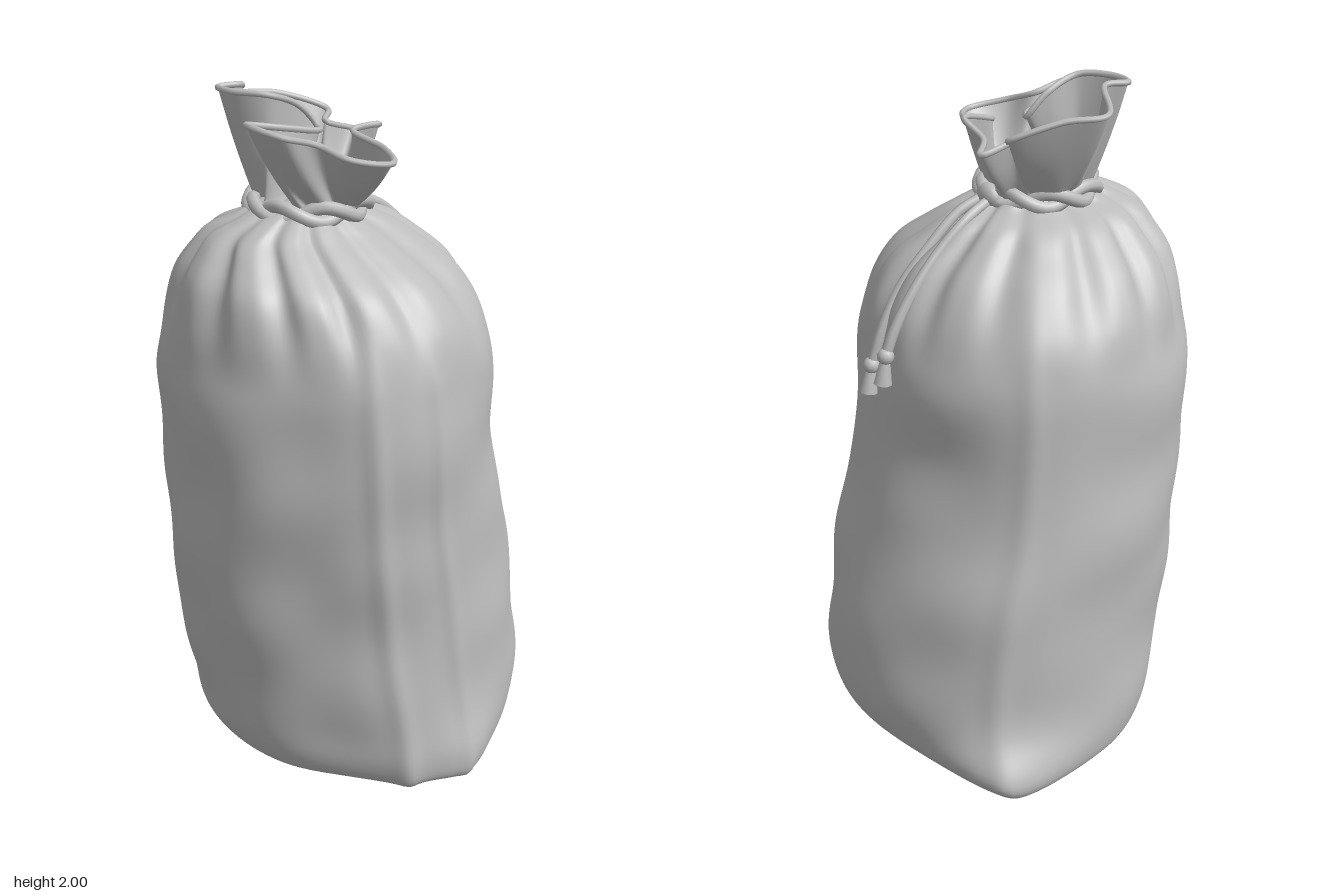
import * as THREE from 'three';

const cloth = new THREE.MeshStandardMaterial({ color: 0xbcbcbc });
cloth.name = 'grey cloth';
const clothOpen = new THREE.MeshStandardMaterial({ color: 0xbcbcbc, side: THREE.DoubleSide });
clothOpen.name = 'grey cloth';

const NECK = new THREE.Vector3(-0.115, 0, -0.025);
const V = (x, y, z) => new THREE.Vector3(x, y, z);

// Closed rings lofted upward; point(u, t) gives a position, u runs around
function loft(rings, segs, point, capBottom) {
  const pos = [], idx = [];
  for (let i = 0; i <= rings; i++)
    for (let j = 0; j < segs; j++) pos.push(...point(j / segs, i / rings).toArray());
  for (let i = 0; i < rings; i++)
    for (let j = 0; j < segs; j++) {
      const k = (j + 1) % segs, a = i * segs + j, b = i * segs + k;
      idx.push(a, a + segs, b, b, a + segs, b + segs);
    }
  if (capBottom) {
    const c = pos.length / 3;
    pos.push(0.02, 0, 0);
    for (let j = 0; j < segs; j++) pos.push(...point(j / segs, 0).toArray());
    for (let j = 0; j < segs; j++) idx.push(c, c + 1 + j, c + 1 + (j + 1) % segs);
  }
  const g = new THREE.BufferGeometry();
  g.setAttribute('position', new THREE.Float32BufferAttribute(pos, 3));
  g.setIndex(idx);
  g.computeVertexNormals();
  return g;
}

// Sack outline per height: y, left, right, front, back; the last rows close the neck
const rows = [
  [0, -0.36, 0.40, 0.49, -0.49], [0.02, -0.41, 0.45, 0.515, -0.515],
  [0.08, -0.45, 0.51, 0.525, -0.53], [0.2, -0.475, 0.545, 0.525, -0.53],
  [0.4, -0.51, 0.54, 0.505, -0.52], [0.6, -0.53, 0.51, 0.50, -0.525],
  [0.8, -0.54, 0.45, 0.50, -0.52], [1.0, -0.545, 0.41, 0.50, -0.505],
  [1.2, -0.55, 0.405, 0.49, -0.51], [1.3, -0.535, 0.39, 0.475, -0.49],
  [1.4, -0.52, 0.36, 0.44, -0.46], [1.5, -0.495, 0.30, 0.37, -0.40],
  [1.57, -0.45, 0.225, 0.27, -0.33], [1.62, -0.405, 0.16, 0.19, -0.27],
  [1.655, -0.34, 0.08, 0.14, -0.19], [1.69, -0.25, 0.02, 0.10, -0.15],
  [1.71, -0.18, -0.05, 0.03, -0.08], [1.715, -0.118, -0.112, -0.022, -0.028],
];
const outlineX = new THREE.CatmullRomCurve3(rows.map(r => V(r[1], r[0], r[2])));
const outlineZ = new THREE.CatmullRomCurve3(rows.map(r => V(r[3], r[0], r[4])));

const bump = (a, centre, width) => {
  const d = Math.atan2(Math.sin(a - centre), Math.cos(a - centre));
  return Math.exp(-(d * d) / (width * width));
};
const FRONT_SEAM = 1.6, SIDE_SEAM = 2.0, BACK_SEAM = -1.02;

function bodyPoint(u, t) {
  const a = u * Math.PI * 2;
  const X = outlineX.getPoint(t), Z = outlineZ.getPoint(t), y = Math.max(0, X.y);
  const pleat = THREE.MathUtils.smoothstep(y, 1.25, 1.6);
  const low = THREE.MathUtils.smoothstep(y, 0.02, 0.2) * (1 - pleat);
  let k = 1;
  // Gathers below the neck
  const gather = 0.5 + 0.5 * Math.sin(13 * a + 0.9 * Math.sin(3 * a));
  k += pleat * (0.02 - 0.1 * gather * gather);
  // Soft creases, slanting across the cloth
  k += low * (0.007 * Math.sin(3 * a + 8 * y) + 0.006 * Math.sin(5 * a - 13 * y + 1)
    + 0.005 * Math.sin(4 * a + 19 * y + Math.sin(2 * a)));
  // Flattened panel, raised seams and the pinched lower corners
  k -= 0.045 * (1 - pleat) * bump(a, 2.42, 0.3);
  k += (1 - pleat) * (0.02 * bump(a, FRONT_SEAM, 0.05) + 0.025 * bump(a, SIDE_SEAM, 0.06)
    + 0.02 * bump(a, BACK_SEAM, 0.07) + 0.045 * bump(a, BACK_SEAM, 0.35));
  const ear = Math.exp(-(((y - 0.05) / 0.12) ** 2));
  k += ear * (0.13 * bump(a, BACK_SEAM, 0.42) + 0.05 * bump(a, BACK_SEAM, 0.18)
    + 0.08 * bump(a, FRONT_SEAM, 0.25) + 0.04 * bump(a, SIDE_SEAM, 0.14));
  return V((X.x + X.z) / 2 + k * (X.z - X.x) / 2 * Math.cos(a), y,
    (Z.x + Z.z) / 2 + k * (Z.x - Z.z) / 2 * Math.sin(a));
}

// Folded upper rim of the gathered mouth
const rim = new THREE.CatmullRomCurve3([
  [0.14, 1.83, -0.13], [0.075, 1.84, -0.04], [0.08, 1.88, 0.05], [0.0, 1.87, 0.03],
  [0.01, 1.84, 0.15], [-0.07, 1.83, 0.27], [-0.18, 1.85, 0.23], [-0.22, 1.88, 0.15],
  [-0.32, 1.91, 0.13], [-0.36, 1.93, 0.05], [-0.32, 1.92, -0.02], [-0.21, 1.9, 0.0],
  [-0.1, 1.88, 0.005], [-0.07, 1.88, -0.035], [-0.12, 1.94, -0.055], [-0.22, 1.98, -0.06],
  [-0.28, 1.985, -0.14], [-0.27, 1.985, -0.22], [-0.2, 1.985, -0.21],
  [-0.13, 1.94, -0.32], [-0.02, 1.93, -0.28], [0.1, 1.88, -0.2], [0.05, 1.86, -0.15],
].map(p => V(...p)), true);

function rufflePoint(u, t) {
  const a = u * Math.PI * 2 - 0.5, top = rim.getPoint(u);
  const r = 0.122 + 0.014 * Math.sin(13 * a);
  const h = Math.pow(t, 0.85) + 0.06 * Math.sin(Math.PI * t);
  return V(
    THREE.MathUtils.lerp(NECK.x + r * Math.cos(a), top.x, h),
    THREE.MathUtils.lerp(1.65, top.y, t),
    THREE.MathUtils.lerp(NECK.z + r * Math.sin(a), top.z, h));
}

export function createModel() {
  const model = new THREE.Group();
  const add = (name, geo, mat = cloth, parent = model) => {
    const m = new THREE.Mesh(geo, mat);
    m.name = name;
    parent.add(m);
    return m;
  };

  add('sackBody', loft(102, 192, bodyPoint, true));
  add('gatheredMouth', loft(14, 184, rufflePoint, false), clothOpen);
  add('mouthHem', new THREE.TubeGeometry(rim, 184, 0.009, 6, true));

  // Two cord strands twisted around the neck
  for (let s = 0; s < 2; s++) {
    const pts = [];
    for (let i = 0; i < 72; i++) {
      const a = i / 72 * Math.PI * 2, w = 4 * a + s * Math.PI;
      const r = 0.158 + 0.01 * Math.cos(w);
      pts.push(V(NECK.x + r * Math.cos(a), 1.68 + 0.02 * Math.sin(w), NECK.z + r * Math.sin(a)));
    }
    add('neckCord', new THREE.TubeGeometry(new THREE.CatmullRomCurve3(pts, true), 144, 0.019, 8, true));
  }
  const knot = add('cordKnot', new THREE.SphereGeometry(0.036, 14, 10));
  knot.position.set(0.05, 1.675, -0.03);
  knot.scale.set(0.8, 1, 1.3);

  // Hanging cord ends with knots and flared tips
  const ends = [
    [[0.05, 1.67, -0.01], [0.13, 1.635, 0], [0.23, 1.55, 0], [0.32, 1.45, 0.005], [0.385, 1.34, 0], [0.42, 1.24, 0.005]],
    [[0.05, 1.67, -0.04], [0.14, 1.635, -0.06], [0.24, 1.555, -0.065], [0.33, 1.46, -0.075], [0.39, 1.37, -0.08], [0.42, 1.3, -0.08]],
  ];
  for (const e of ends) {
    const path = new THREE.CatmullRomCurve3(e.map(p => V(...p)));
    const cord = new THREE.Group();
    cord.name = 'hangingCord';
    model.add(cord);
    add('cordStrand', new THREE.TubeGeometry(path, 40, 0.015, 8), cloth, cord);
    const end = path.getPoint(1);
    add('endKnot', new THREE.SphereGeometry(0.024, 12, 8), cloth, cord).position.copy(end);
    const tip = add('cordTip', new THREE.CylinderGeometry(0.014, 0.026, 0.07, 10), cloth, cord);
    tip.position.copy(end).add(V(0.007, -0.045, 0));
    tip.rotation.z = 0.15;
  }
  return model;
}
